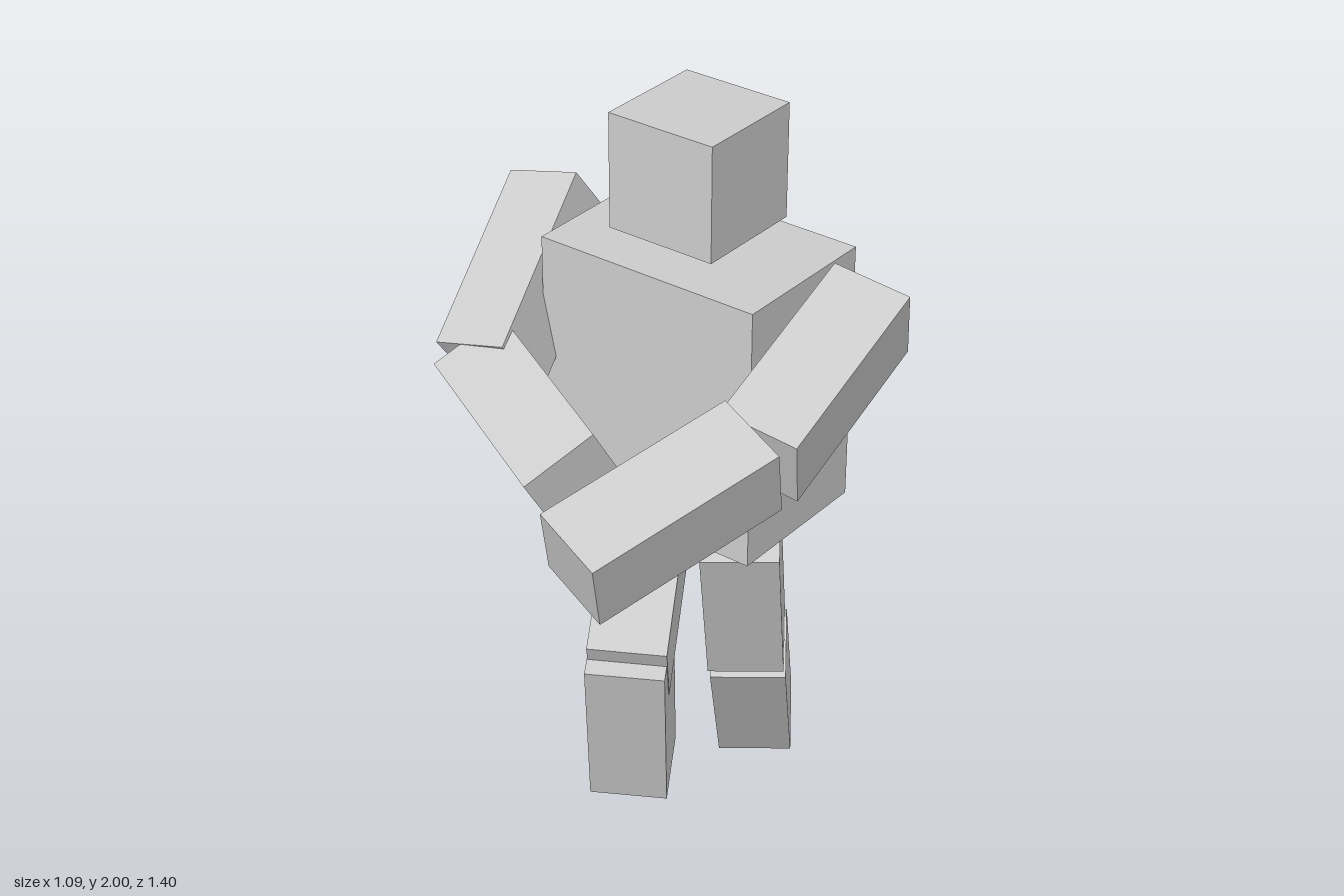
import * as THREE from 'three';

const material = new THREE.MeshStandardMaterial({ color: 0xcccccc, flatShading: true });
const LIMB = 0.192; // square limb thickness

function block(name, size, position, yaw) {
  const mesh = new THREE.Mesh(new THREE.BoxGeometry(...size), material);
  mesh.name = name;
  mesh.position.set(...position);
  mesh.rotation.y = yaw;
  return mesh;
}

// Square bar running from one joint to the next; "side" sets its twist.
function limb(name, from, to, side) {
  const a = new THREE.Vector3(...from);
  const b = new THREE.Vector3(...to);
  const along = b.clone().sub(a);
  const length = along.length();
  along.normalize();
  const x = new THREE.Vector3(...side);
  x.addScaledVector(along, -x.dot(along)).normalize();
  const z = x.clone().cross(along);
  const mesh = new THREE.Mesh(new THREE.BoxGeometry(LIMB, length, LIMB), material);
  mesh.name = name;
  mesh.quaternion.setFromRotationMatrix(new THREE.Matrix4().makeBasis(x, along, z));
  mesh.position.copy(a).add(b).multiplyScalar(0.5);
  return mesh;
}

export function createModel() {
  const model = new THREE.Group();
  model.name = 'blockFigure';

  // Head and torso, turned together
  const yaw = -0.56;
  model.add(
    block('torso', [0.6, 0.667, 0.4], [0.06, 1.331, -0.28], yaw),
    block('head', [0.288, 0.285, 0.288], [0.06, 1.857, -0.28], yaw),
  );

  // Arms and legs: name, upper joint, lower joint, sideways direction
  const limbs = [
    ['leftUpperArm', [0.465, 1.614, -0.10], [0.243, 1.453, 0.295], [0.17, -0.03, 0.08]],
    ['leftForearm', [0.232, 1.461, 0.302], [-0.132, 1.337, 0.593], [0.128, -0.05, 0.139]],
    ['rightUpperArm', [-0.291, 1.624, -0.567], [-0.418, 1.367, -0.177], [0.171, 0.042, 0.085]],
    ['rightForearm', [-0.431, 1.366, -0.195], [-0.168, 1.298, 0.202], [0.14, 0.09, -0.075]],
    ['leftThigh', [0.175, 0.937, -0.193], [0.185, 0.487, -0.365], [1, 0.03, -0.04]],
    ['leftShin', [0.19, 0.474, -0.37], [0.198, 0.056, -0.614], [1, 0.03, -0.04]],
    ['rightThigh', [-0.053, 0.905, -0.394], [-0.07, 0.688, 0.071], [1, -0.02, 0.02]],
    ['rightShin', [-0.07, 0.743, 0.04], [-0.077, 0.283, -0.087], [1, -0.02, 0.02]],
  ];
  for (const args of limbs) model.add(limb(...args));

  return model;
}
